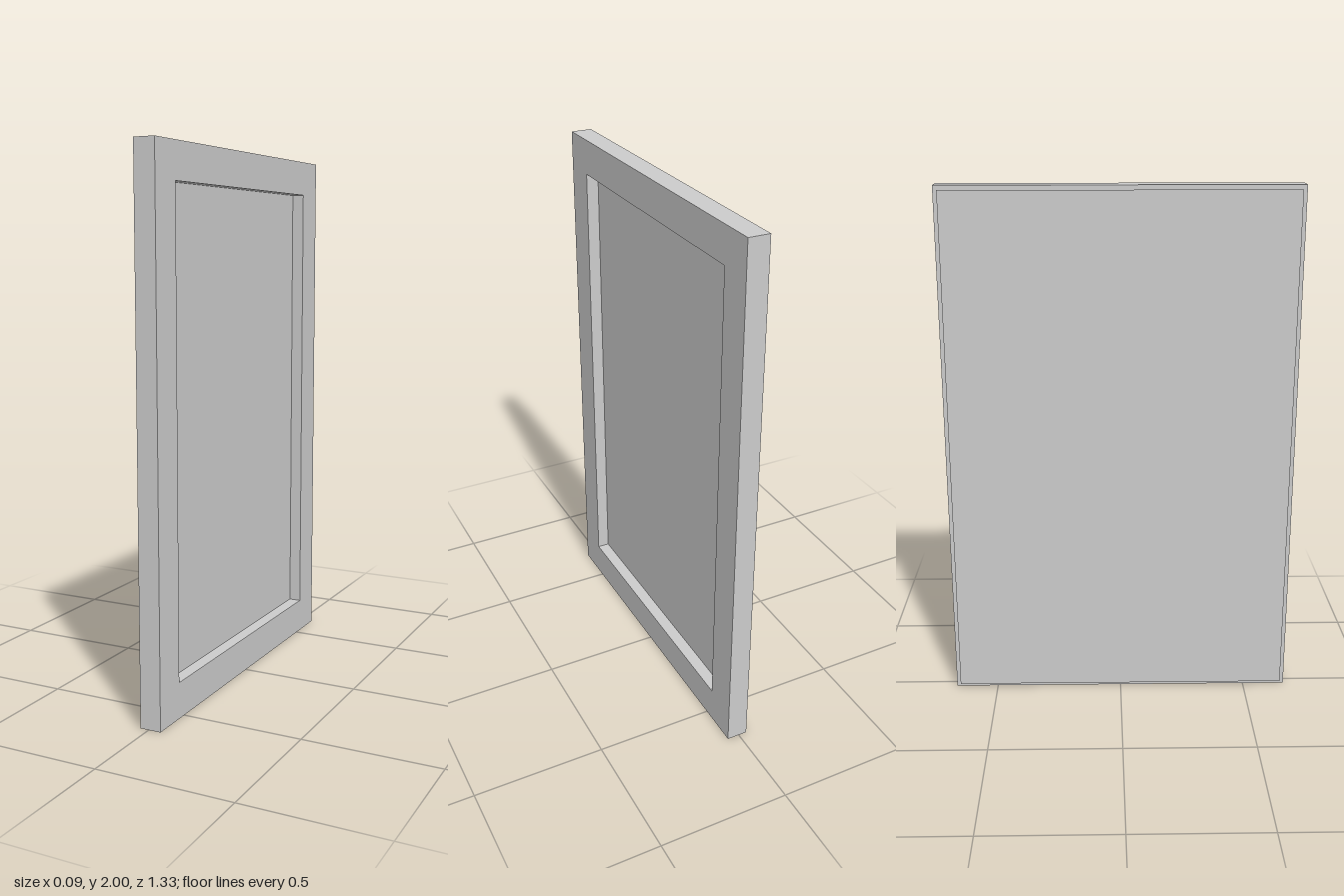
import * as THREE from 'three';

const HEIGHT = 2, WIDTH = 1.333, BORDER = 0.133;
const BACK = -0.033, DEPTH = 0.08;

export function createModel() {
  const group = new THREE.Group();
  group.name = 'pictureFrame';
  const material = new THREE.MeshStandardMaterial({ color: 0xcccccc });

  const add = (name, geometry) => {
    const mesh = new THREE.Mesh(geometry, material);
    mesh.name = name;
    group.add(mesh);
  };

  // Upright rectangle centred on z, as a list of outline points
  const rectangle = (inset) => {
    const w = WIDTH / 2 - inset;
    return [[-w, inset], [w, inset], [w, HEIGHT - inset], [-w, HEIGHT - inset]]
      .map(([x, y]) => new THREE.Vector2(x, y));
  };

  // Flat sheet at a given x, facing +x (side = 1) or -x (side = -1)
  const sheet = (inset, x, side) =>
    new THREE.PlaneGeometry(WIDTH - 2 * inset, HEIGHT - 2 * inset)
      .rotateY(side * Math.PI / 2)
      .translate(x, HEIGHT / 2, 0);

  // Rectangular border with a square-edged opening
  const outline = new THREE.Shape(rectangle(0));
  outline.holes.push(new THREE.Path(rectangle(BORDER)));
  add('frame', new THREE.ExtrudeGeometry(outline, { depth: DEPTH, bevelEnabled: false })
    .rotateY(Math.PI / 2)
    .translate(BACK, 0, 0));

  // Picture surface set into the opening
  add('picture', sheet(BORDER, 0, 1));

  // Thin backing sheet standing just off the rear of the frame
  add('backing', sheet(0.016, -0.047, -1));

  return group;
}
